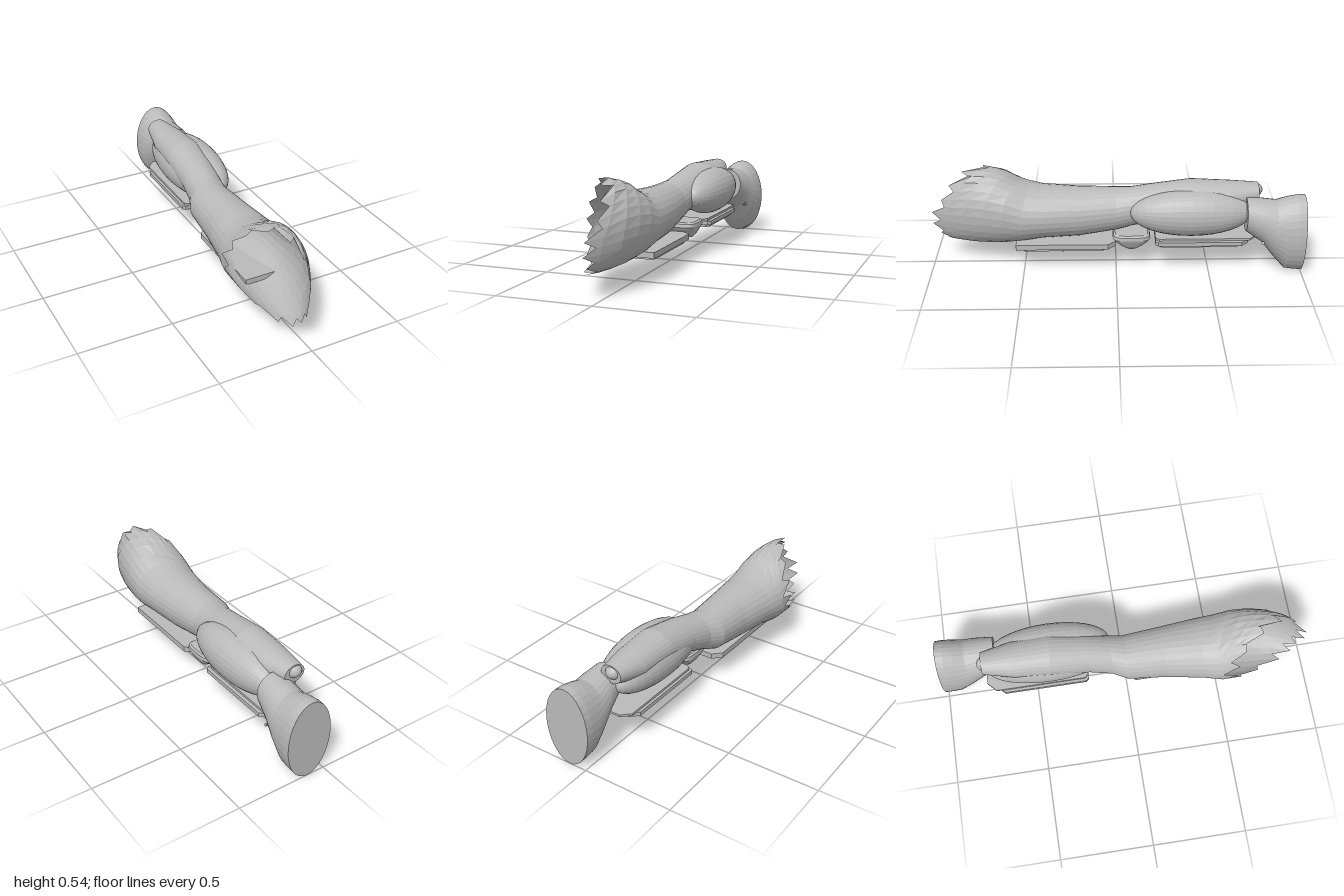
import * as THREE from 'three';

const clay = new THREE.MeshStandardMaterial({ color: 0xbababa, flatShading: true, side: THREE.DoubleSide });
clay.name = 'light grey';

function add(parent, name, geometry, x = 0, y = 0, z = 0) {
  const mesh = new THREE.Mesh(geometry, clay);
  mesh.name = name;
  mesh.position.set(x, y, z);
  parent.add(mesh);
  return mesh;
}

// Skin through rings of points; pointAt(ring, angleIndex) returns [x, y, z]
function loft(rings, sides, pointAt) {
  const pos = [], idx = [];
  for (let i = 0; i < rings; i++)
    for (let j = 0; j < sides; j++) pos.push(...pointAt(i, j));
  for (let i = 0; i < rings - 1; i++)
    for (let j = 0; j < sides; j++) {
      const a = i * sides + j, b = i * sides + (j + 1) % sides;
      idx.push(a, b, a + sides, b, b + sides, a + sides);
    }
  const g = new THREE.BufferGeometry();
  g.setAttribute('position', new THREE.Float32BufferAttribute(pos, 3));
  g.setIndex(idx);
  g.computeVertexNormals();
  return g;
}

// Sections: z, xMin, xMax, yMin, yMax
const armSections = [
  [-0.76, -0.05, 0.07, 0.37, 0.47], [-0.6, -0.083, 0.11, 0.32, 0.48],
  [-0.4, -0.097, 0.125, 0.3, 0.49], [-0.2, -0.10, 0.105, 0.26, 0.46],
  [-0.08, -0.115, 0.09, 0.22, 0.435], [0, -0.15, 0.088, 0.19, 0.425],
  [0.2, -0.165, 0.11, 0.16, 0.43], [0.4, -0.2, 0.13, 0.15, 0.44],
  [0.5, -0.225, 0.135, 0.13, 0.46], [0.6, -0.228, 0.133, 0.115, 0.52],
  [0.7, -0.228, 0.118, 0.108, 0.545], [0.8, -0.22, 0.09, 0.108, 0.54],
  [0.9, -0.21, 0.04, 0.112, 0.5], [1.0, -0.2, -0.035, 0.125, 0.45],
];

function sectionAt(table, z) {
  let i = 0;
  while (i < table.length - 2 && z > table[i + 1][0]) i++;
  const t = THREE.MathUtils.clamp((z - table[i][0]) / (table[i + 1][0] - table[i][0]), 0, 1);
  return table[i].map((v, k) => THREE.MathUtils.lerp(v, table[i + 1][k], t));
}

function ovalPoint(table, z, angle, scale = 1) {
  const [, x0, x1, y0, y1] = sectionAt(table, z);
  return [
    (x0 + x1) / 2 + Math.cos(angle) * scale * (x1 - x0) / 2,
    (y0 + y1) / 2 + Math.sin(angle) * scale * (y1 - y0) / 2, z,
  ];
}

// Arm shell with a slanted, torn mouth
function armGeometry() {
  const sides = 28;
  const body = [-0.76, -0.76, -0.68, -0.6, -0.5, -0.4, -0.3, -0.2, -0.08, 0, 0.1, 0.2, 0.3, 0.4];
  const mouth = 6;
  return loft(body.length + mouth, sides, (i, j) => {
    const a = j / sides * Math.PI * 2;
    if (i < body.length) return ovalPoint(armSections, body[i], a, i === 0 ? 0 : 1);
    const c = Math.cos(a);
    const rim = 0.8 + 0.175 * c - 0.06 * Math.sin(a) - 0.085 * Math.min(c, 0) ** 2;
    const k = i - body.length + 1;
    const tooth = j % 2 ? -0.035 : 0.025 + 0.02 * Math.sin(j * 2.3);
    const z = k < mouth ? THREE.MathUtils.lerp(0.4, rim - 0.06, k / (mouth - 1)) : rim + tooth;
    return ovalPoint(armSections, Math.min(z, 1), a);
  });
}

// Oval cuff widening to a flat end disc
function cuffGeometry() {
  const rows = [
    [-1, -0.028, 0.227, 0, 0.435], [-0.96, -0.03, 0.228, 0.003, 0.435],
    [-0.91, -0.028, 0.224, 0.01, 0.425], [-0.85, -0.022, 0.215, 0.08, 0.405],
    [-0.78, -0.012, 0.2, 0.17, 0.412], [-0.69, 0.005, 0.18, 0.235, 0.42],
  ];
  const sides = 32;
  return loft(rows.length + 2, sides, (i, j) => {
    const r = rows[THREE.MathUtils.clamp(i - 1, 0, rows.length - 1)];
    const closed = i === 0 || i === rows.length + 1;
    return ovalPoint(rows, r[0], j / sides * Math.PI * 2, closed ? 0 : 1);
  });
}

// Rounded pad tapering downwards; rows are y, half width, half length
function padGeometry() {
  const rows = [
    [0.117, 0, 0], [0.119, 0.04, 0.025], [0.14, 0.058, 0.058], [0.17, 0.074, 0.092],
    [0.185, 0.08, 0.102], [0.203, 0.078, 0.098], [0.211, 0.068, 0.088], [0.211, 0, 0],
  ];
  const sides = 32;
  const soft = v => Math.sign(v) * Math.sqrt(Math.abs(v));
  return loft(rows.length, sides, (i, j) => {
    const a = -j / sides * Math.PI * 2;
    const [y, w, l] = rows[i];
    return [w * soft(Math.cos(a)), y, l * soft(Math.sin(a))];
  });
}

// Flat plate spanning y0..y1, with the corners clipped by back and front amounts
function plateGeometry(x0, x1, z0, z1, y0, y1, back, front) {
  const s = new THREE.Shape([
    [x0 + back, z0], [x1 - back, z0], [x1, z0 + back], [x1, z1 - front],
    [x1 - front, z1], [x0 + front, z1], [x0, z1 - front], [x0, z0 + back],
  ].map(p => new THREE.Vector2(...p)));
  return new THREE.ExtrudeGeometry(s, { depth: y1 - y0, bevelEnabled: false })
    .rotateX(Math.PI / 2).translate(0, y1, 0);
}

function muscle(parent, name, x, y, z, rx, ry, rz) {
  add(parent, name, new THREE.SphereGeometry(1, 28, 18).rotateX(Math.PI / 2).scale(rx, ry, rz), x, y, z);
}

export function createModel() {
  const model = new THREE.Group();
  model.name = 'armoredArm';

  add(model, 'tornArmShell', armGeometry());
  muscle(model, 'outerMuscle', 0.087, 0.335, -0.4, 0.118, 0.127, 0.325);
  muscle(model, 'innerMuscle', 0, 0.335, -0.41, 0.11, 0.115, 0.33);
  muscle(model, 'jointBulb', 0.005, 0.43, -0.73, 0.045, 0.04, 0.055);
  add(model, 'endCuff', cuffGeometry());

  // Layered plate under the wide half
  const lower = new THREE.Group();
  lower.name = 'forearmPlate';
  model.add(lower);
  [
    [-0.11, 0.118, 0, 0.54, 0.13, 0.16, 0.045, 0.002],
    [-0.085, 0.105, 0.04, 0.51, 0.116, 0.13, 0.035, 0.02],
    [-0.06, 0.08, 0.12, 0.45, 0.107, 0.116, 0.04, 0.04],
    [-0.04, 0.055, 0.18, 0.4, 0.1, 0.107, 0.03, 0.03],
  ].forEach((p, i) => add(lower, 'plateLayer' + (i + 1), plateGeometry(...p)));
  for (const x of [-0.018, 0.032])
    add(lower, 'rib', new THREE.BoxGeometry(0.01, 0.01, 0.13), x, 0.096, 0.29);
  add(lower, 'crossRib', new THREE.BoxGeometry(0.05, 0.01, 0.012), 0.007, 0.096, 0.29);
  for (const x of [-0.045, 0.057])
    add(lower, 'stud', new THREE.CylinderGeometry(0.006, 0.006, 0.014, 10), x, 0.097, 0.29);

  // Layered plate under the muscles
  const upper = new THREE.Group();
  upper.name = 'upperArmPlate';
  model.add(upper);
  [
    [-0.075, 0.13, -0.76, -0.21, 0.185, 0.197, 0.045, 0.02],
    [-0.09, 0.15, -0.71, -0.21, 0.163, 0.185, 0.04, 0.015],
    [-0.065, 0.133, -0.68, -0.23, 0.148, 0.163, 0.035, 0.015],
    [-0.04, 0.11, -0.64, -0.31, 0.142, 0.148, 0.03, 0.03],
  ].forEach((p, i) => add(upper, 'plateLayer' + (i + 1), plateGeometry(...p)));
  add(upper, 'longRib', new THREE.BoxGeometry(0.008, 0.008, 0.15), 0.035, 0.139, -0.47);
  for (const z of [-0.52, -0.47, -0.42])
    add(upper, 'shortRib', new THREE.BoxGeometry(0.04, 0.008, 0.008), 0.035, 0.139, z);

  add(model, 'elbowPad', padGeometry(), 0.051, 0, -0.083);

  // Small spike on the cuff
  const spike = add(model, 'cuffSpike', new THREE.ConeGeometry(0.009, 0.03, 8), 0.175, 0.195, -0.78);
  spike.rotation.set(0.5, 0, 2);

  return model;
}
